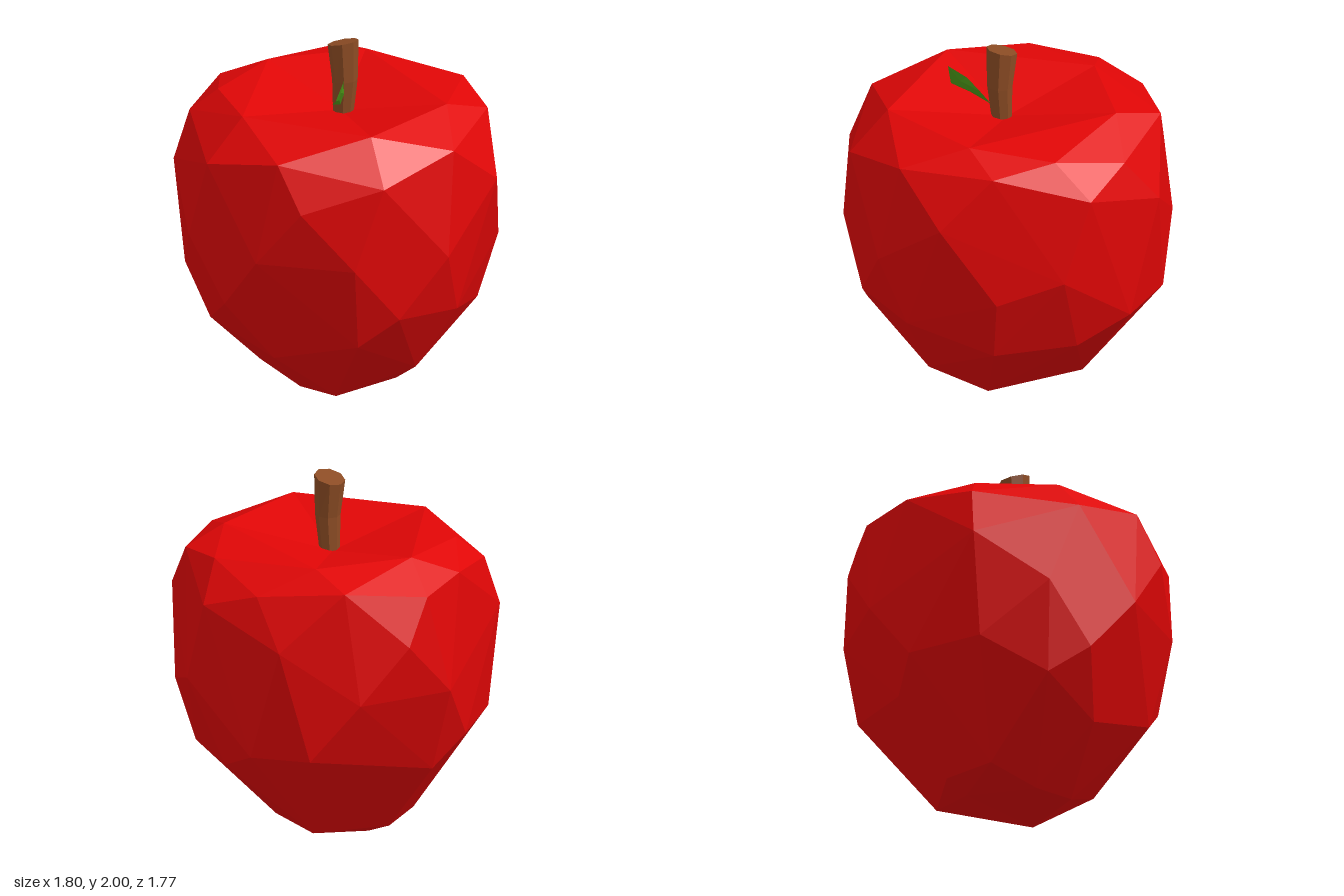
import * as THREE from 'three';
import { ConvexGeometry } from 'three/addons/geometries/ConvexGeometry.js';

const flat = (color) => new THREE.MeshStandardMaterial({ color, flatShading: true, side: THREE.DoubleSide });
const vec = (p) => new THREE.Vector3(...p);

function part(name, geometry, color) {
  const mesh = new THREE.Mesh(geometry, flat(color));
  mesh.name = name;
  return mesh;
}

function fromTriangles(positions) {
  const g = new THREE.BufferGeometry();
  g.setAttribute('position', new THREE.Float32BufferAttribute(positions, 3));
  g.computeVertexNormals();
  return g;
}

// Faceted fruit: a hull over uneven rings, its flat top replaced by a dimple
function fruitGeometry() {
  const rimY = 1.67;
  const rim = [[0.6, 0.3], [-0.08, 0.64], [-0.6, 0], [-0.36, -0.5], [0.52, -0.32]]
    .map(([x, z]) => new THREE.Vector3(x, rimY, z));
  const shoulders = [
    [0.8, 1.44, 0.38], [0.83, 1.55, -0.1], [0.35, 1.55, 0.76], [-0.1, 1.45, 0.88],
    [0.52, 1.3, 0.74], [-0.64, 1.25, 0.65], [-0.6, 1.53, 0.57], [-0.5, 1.65, 0.45],
    [-0.78, 1.58, 0.19], [-0.84, 1.53, -0.12], [-0.86, 1.28, -0.28], [-0.63, 1.6, -0.55],
    [-0.4, 1.27, -0.83], [-0.19, 1.54, -0.79], [0.12, 1.44, -0.89], [0.22, 1.64, -0.7],
    [0.56, 1.59, -0.58], [0.81, 1.29, -0.43],
  ].map(vec);
  // Widest points, at these angles in degrees
  const waist = [0, 36, 72, 108, 180, 216, 288].map((deg) => {
    const a = THREE.MathUtils.degToRad(deg);
    return new THREE.Vector3(0.9 * Math.cos(a), 0.97, 0.9 * Math.sin(a));
  });
  const flanks = [
    [0, 0.64, 0.84], [0.8, 0.64, 0.27], [0.81, 0.6, -0.14], [0.58, 0.84, -0.64],
    [-0.19, 0.62, -0.84], [-0.52, 0.64, -0.71], [-0.79, 0.64, 0.23], [-0.58, 0.65, 0.62],
    [0.64, 0.47, 0.43], [-0.22, 0.47, 0.75], [-0.73, 0.47, 0.03], [0.1, 0.48, -0.74],
    [0.52, 0.47, -0.54], [0.16, 0.31, 0.62], [0.58, 0.21, -0.04],
  ].map(vec);
  const foot = [
    [-0.31, 0.07, 0.31], [0, 0, 0.29], [0.25, 0.01, 0.25], [0.27, 0.01, -0.17],
    [-0.22, 0.07, -0.38], [-0.41, 0.06, 0.02], [-0.27, 0, 0],
  ].map(vec);

  const src = new ConvexGeometry([...rim, ...shoulders, ...waist, ...flanks, ...foot]).attributes.position;
  const out = [];
  for (let i = 0; i < src.count; i += 3) {
    const onTop = [0, 1, 2].every((j) => src.getY(i + j) > rimY - 0.005);
    if (!onTop) for (let j = 0; j < 3; j++) out.push(src.getX(i + j), src.getY(i + j), src.getZ(i + j));
  }
  const pit = new THREE.Vector3(0, 1.56, 0);
  rim.forEach((p, k) => {
    for (const v of [pit, rim[(k + 1) % rim.length], p]) out.push(v.x, v.y, v.z);
  });
  return fromTriangles(out);
}

// Tapered stalk, slightly bowed, with a slanted cut at the top
function stemGeometry() {
  const height = 0.44;
  const g = new THREE.CylinderGeometry(0.085, 0.055, height, 8, 2).translate(0, height / 2, 0);
  const p = g.attributes.position;
  for (let i = 0; i < p.count; i++) {
    const t = p.getY(i) / height;
    const x = p.getX(i);
    p.setXYZ(i, x + 0.035 + 0.06 * t * (1 - t), 1.54 + p.getY(i) + t * t * (0.28 * x - 0.005), p.getZ(i) + 0.01);
  }
  return g;
}

// Folded leaf lofted through left edge, midrib and right edge
function leafGeometry() {
  const base = [0.07, 1.63, 0.06];
  const tip = [0.26, 1.87, 0.2];
  const stations = [
    [base, base, base],
    [[0.13, 1.72, 0.085], [0.13, 1.69, 0.12], [0.13, 1.68, 0.17]],
    [[0.18, 1.8, 0.135], [0.2, 1.77, 0.17], [0.22, 1.74, 0.225]],
    [tip, tip, tip],
  ];
  const out = [];
  for (let s = 0; s < 3; s++) {
    for (let e = 0; e < 2; e++) {
      const [a, b] = [stations[s][e], stations[s][e + 1]];
      const [c, d] = [stations[s + 1][e], stations[s + 1][e + 1]];
      if (a !== b) out.push(...a, ...b, ...d);
      if (c !== d) out.push(...a, ...d, ...c);
    }
  }
  return fromTriangles(out);
}

export function createModel() {
  const group = new THREE.Group();
  group.name = 'apple';
  group.add(
    part('fruit', fruitGeometry(), 0xe00606),
    part('stem', stemGeometry(), 0x8c4c24),
    part('leaf', leafGeometry(), 0x4c9a18),
  );
  return group;
}
